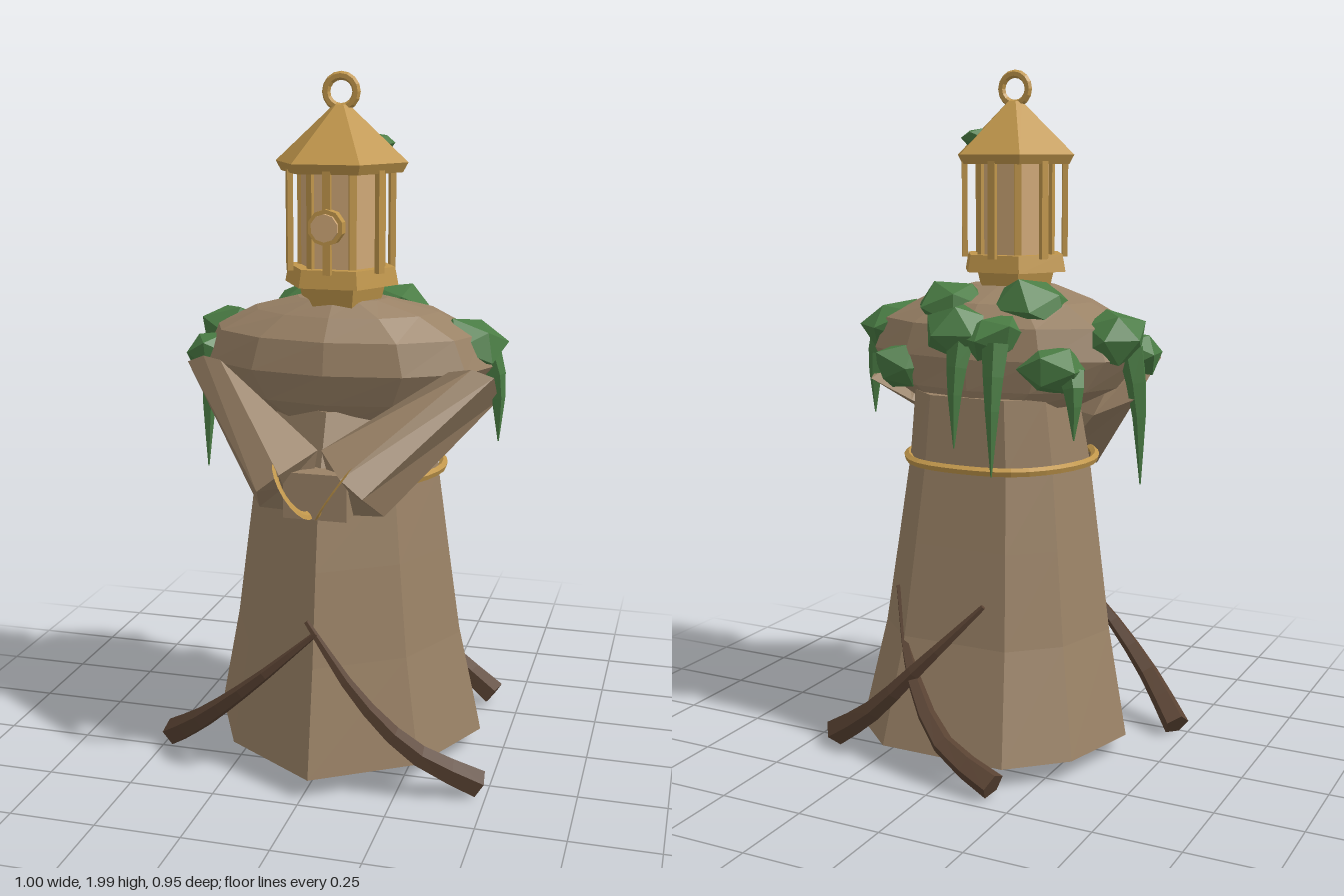
import * as THREE from 'three';

const mat = (name, color) => {
  const m = new THREE.MeshStandardMaterial({ color, flatShading: true });
  m.name = name;
  return m;
};

// Centre line of the figure and of the lantern
const CX = 0.02, LZ = 0.1;

// Skin a list of rings, each running anticlockwise seen from the last one, and cap both ends
function loft(rings) {
  const pos = [];
  const tri = (a, b, c) => pos.push(...a, ...b, ...c);
  const n = rings[0].length;
  const mid = r => [0, 1, 2].map(k => r.reduce((s, p) => s + p[k], 0) / n);
  const first = rings[0], last = rings[rings.length - 1];
  const c0 = mid(first), c1 = mid(last);
  for (let j = 0; j < n; j++) {
    const k = (j + 1) % n;
    for (let i = 0; i < rings.length - 1; i++) {
      const a = rings[i], b = rings[i + 1];
      tri(a[j], a[k], b[k]);
      tri(a[j], b[k], b[j]);
    }
    tri(c0, first[k], first[j]);
    tri(c1, last[j], last[k]);
  }
  const g = new THREE.BufferGeometry();
  g.setAttribute('position', new THREE.Float32BufferAttribute(pos, 3));
  g.computeVertexNormals();
  return g;
}

// Robe outline: a pointed front, a broad flat back
const HALF = [[0.68, 0.58], [1, -0.08], [0.84, -0.67], [0.47, -1]];
const ROBE = [[0, 1], ...HALF, ...HALF.map(([x, z]) => [-x, z]).reverse()];
// Regular twelve-sided outline
const ROUND = Array.from({ length: 12 }, (_, j) => [Math.sin(j * Math.PI / 6), Math.cos(j * Math.PI / 6)]);

// Horizontal ring from height, half width, front z and back z
const ring = ([y, rx, zf, zb], outline) =>
  outline.map(([x, z]) => [CX + rx * x, y, (zf + zb) / 2 + z * (zf - zb) / 2]);

const curveOf = (pts, closed = false) =>
  new THREE.CatmullRomCurve3(pts.map(p => new THREE.Vector3(...p)), closed);

// Tapering stick along a smooth path
function stick(pts, r0, r1, sides, steps) {
  const curve = curveOf(pts);
  const f = curve.computeFrenetFrames(steps, false);
  const rings = [];
  for (let i = 0; i <= steps; i++) {
    const t = i / steps, c = curve.getPointAt(t), r = r0 + (r1 - r0) * t;
    rings.push(Array.from({ length: sides }, (_, j) => {
      const a = j / sides * Math.PI * 2;
      return c.clone().addScaledVector(f.normals[i], r * Math.cos(a))
        .addScaledVector(f.binormals[i], r * Math.sin(a)).toArray();
    }));
  }
  return loft(rings);
}

// Uneven leafy lump
function lump(r, seed) {
  const g = new THREE.IcosahedronGeometry(r, 0);
  const p = g.attributes.position, v = new THREE.Vector3();
  for (let i = 0; i < p.count; i++) {
    v.fromBufferAttribute(p, i);
    const d = v.clone().divideScalar(r);
    v.multiplyScalar(1 + 0.14 * Math.sin(d.x * 3.7 + d.y * 9.1 + d.z * 5.3 + seed));
    p.setXYZ(i, v.x, v.y, v.z);
  }
  g.computeVertexNormals();
  return g;
}

// Six-sided drum with a flat side to the front
const hex = (rTop, rBottom, y0, y1) =>
  new THREE.CylinderGeometry(rTop, rBottom, y1 - y0, 6, 1, false, Math.PI / 6)
    .translate(CX, (y0 + y1) / 2, LZ);

export function createModel() {
  const model = new THREE.Group();
  model.name = 'lanternKeeper';
  const cloth = mat('cloth', 0x9a8266);
  const gold = mat('gold', 0xc0964b);
  const glass = mat('glass', 0xd0a877);
  const leaf = mat('leaf', 0x4a7c44);
  const wood = mat('wood', 0x5a4333);
  const add = (name, geo, material, parent = model) => {
    const m = new THREE.Mesh(geo, material);
    m.name = name;
    parent.add(m);
    return m;
  };
  const group = name => {
    const g = new THREE.Group();
    g.name = name;
    model.add(g);
    return g;
  };

  // Nine-sided robe and rounded shoulders
  add('robe', loft([
    [0.068, 0.41, 0.465, -0.375], [0.38, 0.345, 0.41, -0.295], [0.65, 0.307, 0.375, -0.255],
    [0.88, 0.275, 0.34, -0.222], [1.08, 0.25, 0.26, -0.21],
  ].map(r => ring(r, ROBE))), cloth);
  add('shoulders', loft([
    [1.04, 0.24, 0.22, -0.19], [1.1, 0.36, 0.265, -0.21], [1.19, 0.43, 0.3, -0.22],
    [1.28, 0.39, 0.285, -0.2], [1.34, 0.27, 0.235, -0.14], [1.38, 0.13, 0.19, -0.01],
  ].map(r => ring(r, ROUND))), cloth);

  // Belt cord
  add('belt', new THREE.TubeGeometry(
    curveOf(ring([0.88, 0.28, 0.345, -0.23], ROBE), true), 36, 0.013, 5, true), gold);

  // Folded sleeves, from shoulder to cuff, meeting at the middle
  const sleeve = [
    [[0.35, 1.2, 0.2], [0.32, 1.02, 0.0], [0.455, 1.08, -0.015], [0.468, 1.18, 0.15], [0.41, 1.205, 0.175]],
    [[0.025, 0.99, 0.33], [0.065, 0.8, 0.3], [0.2, 0.81, 0.315], [0.168, 0.89, 0.435], [0.105, 0.94, 0.432]],
  ];
  const mirror = p => [2 * CX - p[0], p[1], p[2]];
  add('leftSleeve', loft(sleeve), cloth);
  add('rightSleeve', loft(sleeve.map(r => r.map(mirror).reverse())), cloth);
  add('cuffs', new THREE.BoxGeometry(0.18, 0.13, 0.08).translate(CX, 0.87, 0.34), cloth);

  // Flat half hoops hanging over the cuffs
  for (const s of [1, -1])
    add(s > 0 ? 'leftCord' : 'rightCord', new THREE.TorusGeometry(0.085, 0.013, 4, 10, Math.PI)
      .scale(1, 1, 0.2).rotateX(Math.PI / 2).rotateZ(Math.PI / 2 - s * 0.58)
      .translate(CX + s * 0.06, 0.89, 0.375), gold);

  // Lantern head
  const head = group('lantern');
  add('neck', hex(0.128, 0.11, 1.355, 1.425), gold, head);
  add('lanternBase', hex(0.155, 0.165, 1.42, 1.47), gold, head);
  add('lanternGlass', hex(0.12, 0.12, 1.47, 1.74), glass, head);
  add('eave', hex(0.19, 0.175, 1.73, 1.757), gold, head);
  add('roof', hex(0.022, 0.19, 1.757, 1.91), gold, head);
  add('hangingRing', new THREE.TorusGeometry(0.043, 0.012, 6, 16).translate(CX, 1.945, LZ), gold, head);
  const bar = (width, r, a) => new THREE.BoxGeometry(width, 0.28, 0.016)
    .translate(0, 1.6, r).rotateY(a).translate(CX, 0, LZ);
  for (let i = 0; i < 6; i++) {
    const a = i * Math.PI / 3;
    add('post', bar(0.022, 0.148, a), gold, head);
    add('glassEdge', bar(0.02, 0.117, a + Math.PI / 6), gold, head);
  }
  const disc = (r, z0, z1) => new THREE.CylinderGeometry(r, r, z1 - z0, 10)
    .rotateX(Math.PI / 2).translate(CX, 1.59, (z0 + z1) / 2);
  add('latchRim', disc(0.05, 0.235, 0.268), gold, head);
  add('latchFace', disc(0.038, 0.262, 0.28), glass, head);

  // Foliage over the shoulders: x, y, z, radius
  const foliage = group('foliage');
  [
    [-0.22, 1.17, -0.145, 0.1], [-0.05, 1.25, -0.165, 0.095], [0.06, 1.26, -0.165, 0.115],
    [0.265, 1.15, -0.14, 0.1], [0.13, 1.325, -0.075, 0.11],
    [-0.11, 1.325, -0.04, 0.12], [-0.345, 1.25, -0.02, 0.105], [-0.375, 1.2, 0.08, 0.09],
    [0.37, 1.25, 0.01, 0.108],
  ].forEach(([x, y, z, r], i) => {
    const m = add('leafClump', lump(r, i * 1.7), leaf, foliage);
    m.position.set(x, y, z);
    m.scale.y = 0.75;
    m.rotation.y = i * 0.9;
  });
  const tuft = add('roofTuft', lump(0.04, 2), leaf, foliage);
  tuft.position.set(0.115, 1.805, 0.035);
  tuft.scale.y = 0.7;

  // Hanging vines: x, z, top, tip
  [
    [-0.41, 0.01, 1.22, 0.83], [0.45, 0.02, 1.22, 0.97], [-0.08, -0.235, 1.24, 0.87],
    [-0.29, -0.165, 1.16, 0.98], [0.04, -0.225, 1.24, 0.94],
  ].forEach(([x, z, top, tip]) => add('vine', stick([
    [x * 0.95, top, z * 0.92], [x * 1.01, (top + tip) / 2 + 0.05, z * 1.04], [x * 1.03, tip, z * 1.1],
  ], 0.04, 0.002, 5, 4), leaf, foliage));

  // Curved branches leaning on the robe, thick end on the ground
  const branches = group('branches');
  [
    [[0.475, 0.04, 0.305], [0.3, 0.15, 0.375], [0.15, 0.31, 0.41], [0, 0.515, 0.4]],
    [[-0.475, 0.04, 0.215], [-0.33, 0.16, 0.33], [-0.15, 0.32, 0.4], [0.03, 0.485, 0.405]],
    [[-0.175, 0.045, -0.435], [0, 0.12, -0.4], [0.13, 0.27, -0.335], [0.25, 0.5, -0.21]],
    [[0.42, 0.045, -0.3], [0.27, 0.15, -0.335], [0.1, 0.32, -0.335], [-0.07, 0.5, -0.285]],
  ].forEach(p => add('branch', stick(p, 0.041, 0.008, 5, 7), wood, branches));

  return model;
}
